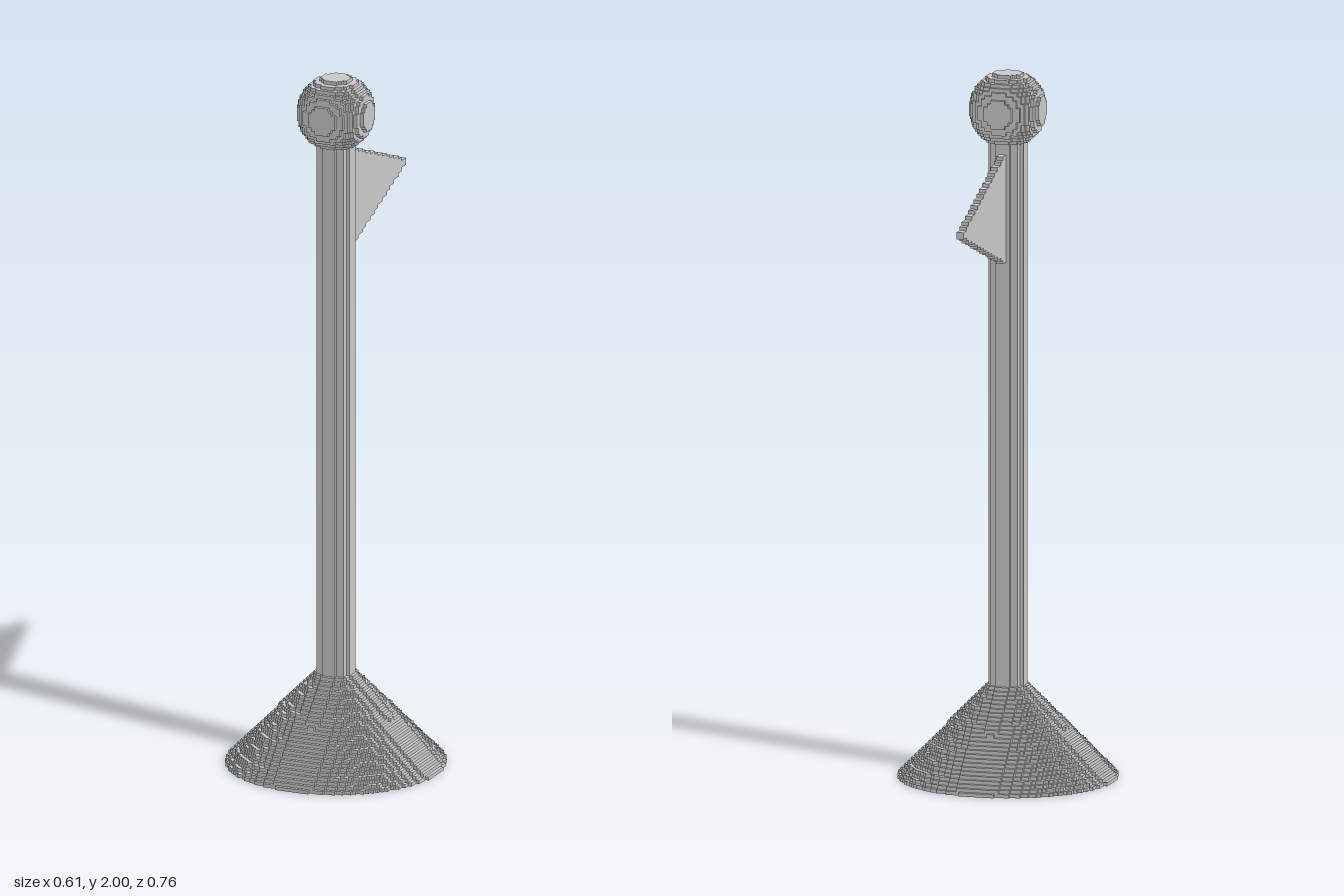
import * as THREE from 'three';

// The model is made of small cubes; sizes below count cubes from the pole's axis.
const HEIGHT = 197;
const S = 2 / HEIGHT;
const CENTRE_Z = 7.5; // moves the pole forward so base and flag are centred together

// Each part: cell bounds and a rule telling whether a cell centre is inside.
const parts = [
  {
    name: 'base', min: [-30, 0, -30], max: [30, 26, 30],
    inside: (x, y, z) => Math.hypot(x, z) < 30 - (y - 0.5) * 25 / 26,
  },
  {
    name: 'pole', min: [-5, 0, -5], max: [5, 187, 5],
    inside: (x, y, z) => Math.hypot(x, z) < 5,
  },
  {
    name: 'ball', min: [-10, 177, -10], max: [10, HEIGHT, 10],
    inside: (x, y, z) => Math.hypot(x, y - 187, z) < 10.4,
  },
  {
    name: 'flag', min: [-1, 144, -45], max: [1, 176, -4],
    inside: (x, y, z) => Math.abs(y - 160) < Math.ceil((45 + z) * 15 / 40),
  },
];

// Index of the first part that fills a cell, or -1 when it is empty
function owner(c) {
  return parts.findIndex(p =>
    c.every((v, a) => v >= p.min[a] && v < p.max[a]) &&
    p.inside(c[0] + 0.5, c[1] + 0.5, c[2] + 0.5));
}

// Builds the exposed cube faces of one part, joining neighbouring faces into strips
function stepSurface(index) {
  const { min, max } = parts[index];
  const positions = [];

  const addStrip = (axis, u, v, sign, cell, start, end) => {
    const corner = (a, b) => {
      const p = [...cell];
      p[axis] += sign > 0 ? 1 : 0;
      p[u] = a;
      p[v] += b;
      return [p[0] * S, p[1] * S, (p[2] + CENTRE_Z) * S];
    };
    const q = [corner(start, 0), corner(end, 0), corner(end, 1), corner(start, 1)];
    const cyclic = u === (axis + 1) % 3;
    if ((sign > 0) !== cyclic) q.reverse();
    for (const i of [0, 1, 2, 0, 2, 3]) positions.push(...q[i]);
  };

  for (const [axis, u, v] of [[0, 1, 2], [1, 0, 2], [2, 1, 0]]) {
    for (const sign of [-1, 1]) {
      for (let a = min[axis]; a < max[axis]; a++) {
        for (let b = min[v]; b < max[v]; b++) {
          let start = null;
          for (let r = min[u]; r <= max[u]; r++) {
            const cell = [];
            cell[axis] = a;
            cell[u] = r;
            cell[v] = b;
            const next = [...cell];
            next[axis] += sign;
            const exposed = r < max[u] && owner(cell) === index && owner(next) < 0;
            if (exposed && start === null) start = r;
            if (!exposed && start !== null) {
              addStrip(axis, u, v, sign, cell, start, r);
              start = null;
            }
          }
        }
      }
    }
  }

  const geometry = new THREE.BufferGeometry();
  geometry.setAttribute('position', new THREE.Float32BufferAttribute(positions, 3));
  geometry.computeVertexNormals();
  return geometry;
}

export function createModel() {
  const group = new THREE.Group();
  group.name = 'flagPole';
  const material = new THREE.MeshStandardMaterial({ color: 0xcccccc, flatShading: true });
  parts.forEach((part, index) => {
    const mesh = new THREE.Mesh(stepSurface(index), material);
    mesh.name = part.name;
    group.add(mesh);
  });
  return group;
}
